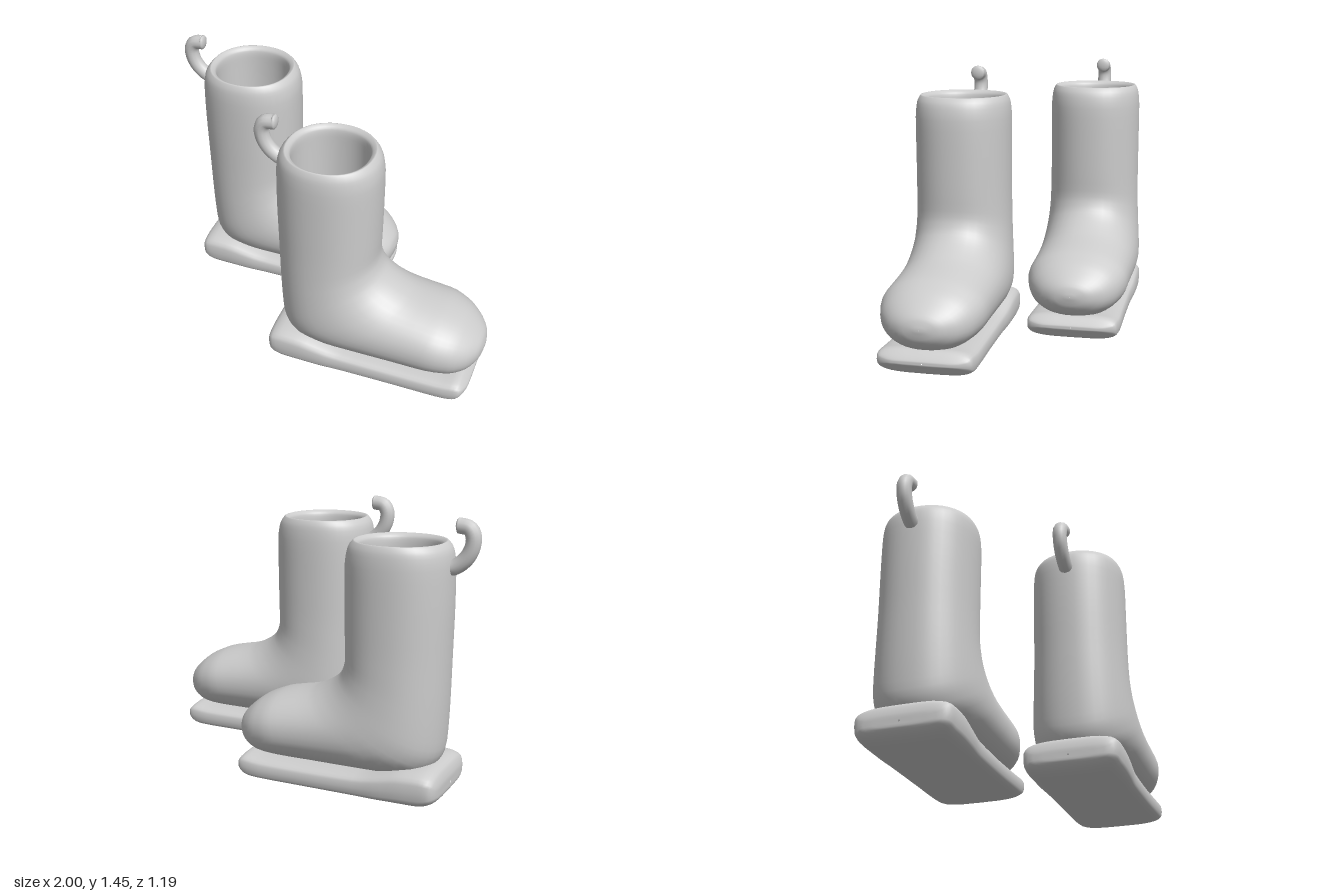
import * as THREE from 'three';

// Skin closed rings along a path. Each section is [x1, y1, x2, y2, halfWidth]:
// two opposite points of the ring in the side plane, and its reach in z.
function loft(sections, power, sides, stepsPerSection) {
  const a = new THREE.CatmullRomCurve3(sections.map(s => new THREE.Vector3(s[0], s[1], s[4])), false, 'catmullrom', 0.4);
  const b = new THREE.CatmullRomCurve3(sections.map(s => new THREE.Vector3(s[2], s[3], 0)), false, 'catmullrom', 0.4);
  const steps = (sections.length - 1) * stepsPerSection;
  const bulge = v => Math.sign(v) * Math.pow(Math.abs(v), 2 / power);
  const positions = [], index = [];
  for (let i = 0; i <= steps; i++) {
    const p = a.getPoint(i / steps), q = b.getPoint(i / steps);
    for (let j = 0; j < sides; j++) {
      const t = (j / sides) * Math.PI * 2;
      const k = bulge(Math.cos(t));
      positions.push(
        (p.x + q.x) / 2 + ((p.x - q.x) / 2) * k,
        (p.y + q.y) / 2 + ((p.y - q.y) / 2) * k,
        Math.max(p.z, 0.001) * bulge(Math.sin(t)));
      if (i < steps) {
        const n = (j + 1) % sides, r = i * sides, s = r + sides;
        index.push(r + j, r + n, s + j, r + n, s + n, s + j);
      }
    }
  }
  const g = new THREE.BufferGeometry();
  g.setAttribute('position', new THREE.Float32BufferAttribute(positions, 3));
  g.setIndex(index);
  g.computeVertexNormals();
  return g;
}

function createBoot(material) {
  const boot = new THREE.Group();
  const add = (name, geometry) => {
    const mesh = new THREE.Mesh(geometry, material);
    mesh.name = name;
    boot.add(mesh);
    return mesh;
  };

  // Lining and rim: round rings about the shaft axis, from the inner floor up
  const ring = (y, r) => [0.113 + r, y, 0.113 - r, y, r];
  const lining = [
    ring(0.24, 0.002), ring(0.26, 0.12), ring(0.36, 0.19), ring(0.6, 0.2), ring(0.9, 0.2),
    ring(1.2, 0.2), ring(1.28, 0.2), ring(1.312, 0.206), ring(1.328, 0.226),
  ];
  // Outside: down the shaft, fanning round the ankle, out to the toe
  const outside = [
    [0.35, 1.325, -0.125, 1.325, 0.235],
    [0.375, 1.29, -0.15, 1.29, 0.25],
    [0.39, 1.21, -0.163, 1.21, 0.258],
    [0.39, 1.02, -0.165, 1.0, 0.258],
    [0.387, 0.82, -0.16, 0.75, 0.258],
    [0.385, 0.7, -0.155, 0.53, 0.262],
    [0.41, 0.63, -0.148, 0.36, 0.27],
    [0.455, 0.585, -0.135, 0.24, 0.278],
    [0.51, 0.55, -0.08, 0.16, 0.283],
    [0.57, 0.522, 0.06, 0.125, 0.283],
    [0.63, 0.505, 0.27, 0.12, 0.28],
    [0.7, 0.49, 0.5, 0.12, 0.278],
    [0.78, 0.47, 0.72, 0.12, 0.275],
    [0.87, 0.43, 0.85, 0.125, 0.24],
    [0.94, 0.375, 0.93, 0.155, 0.18],
    [0.982, 0.33, 0.98, 0.205, 0.105],
    [0.996, 0.29, 0.996, 0.255, 0.035],
    [0.998, 0.275, 0.998, 0.27, 0.002],
  ];
  add('bootUpper', loft([...lining, ...outside], 2.15, 40, 3));

  // Sole: chunky slab, thicker under the heel
  add('sole', loft([
    [-0.183, 0.1, -0.183, 0.09, 0.002],
    [-0.181, 0.135, -0.181, 0.06, 0.19],
    [-0.16, 0.185, -0.15, 0.03, 0.25],
    [-0.1, 0.207, -0.09, 0.006, 0.26],
    [0.02, 0.2, 0.02, 0.004, 0.262],
    [0.14, 0.168, 0.14, 0.004, 0.258],
    [0.26, 0.145, 0.26, 0.005, 0.25],
    [0.55, 0.138, 0.55, 0.006, 0.25],
    [0.8, 0.142, 0.8, 0.008, 0.255],
    [0.9, 0.15, 0.89, 0.014, 0.25],
    [0.935, 0.125, 0.93, 0.05, 0.235],
    [0.955, 0.1, 0.955, 0.075, 0.16],
    [0.957, 0.09, 0.957, 0.085, 0.002],
  ], 3.6, 32, 3));

  // Pull hook curling up behind the shaft
  const path = new THREE.CatmullRomCurve3([
    [-0.12, 1.2], [-0.175, 1.215], [-0.225, 1.255], [-0.256, 1.31],
    [-0.262, 1.37], [-0.24, 1.408], [-0.19, 1.418],
  ].map(([x, y]) => new THREE.Vector3(x, y, 0)));
  add('pullHook', new THREE.TubeGeometry(path, 24, 0.04, 12));
  const tip = add('pullHookTip', new THREE.SphereGeometry(0.04, 12, 8));
  tip.position.set(-0.19, 1.418, 0);
  tip.scale.x = 0.4;
  return boot;
}

export function createModel() {
  const model = new THREE.Group();
  const grey = new THREE.MeshStandardMaterial({ color: 0xcccccc });
  grey.name = 'lightGrey';

  // Two matching boots, one a step ahead of the other
  for (const [name, x, z] of [['frontBoot', 0, 0.31], ['rearBoot', -0.7, -0.31]]) {
    const boot = createBoot(grey);
    boot.name = name;
    boot.position.set(x, 0, z);
    model.add(boot);
  }
  return model;
}
